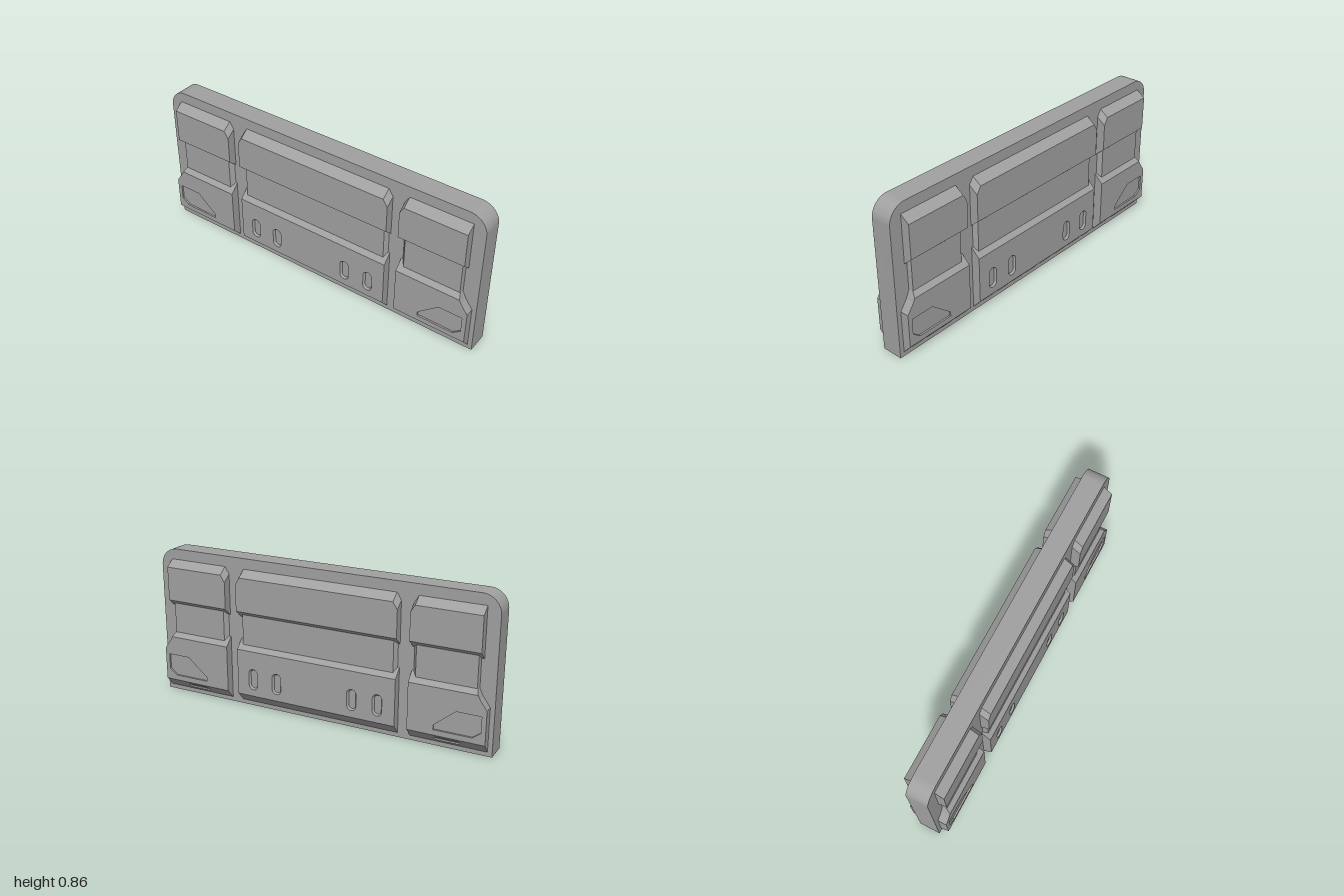
import * as THREE from 'three';
import { toCreasedNormals } from 'three/addons/utils/BufferGeometryUtils.js';

const SLAB = 0.06, FACE = 0.11, WELL = 0.085;
const grey = new THREE.MeshStandardMaterial({ color: 0xa0a0a0 });
grey.name = 'grey';

// Outline [[x, y], ...] (counter-clockwise) placed at depth z
const at = (pts, z) => pts.map(([x, y]) => [x, y, z]);
const rect = (x0, y0, x1, y1) => [[x0, y0], [x1, y0], [x1, y1], [x0, y1]];

// Rounded slot: circle of radius r stretched by ex, ey
function slot(cx, cy, r, ex, ey) {
  const pts = [];
  for (let i = 0; i < 24; i++) {
    const a = ((i + 0.5) / 24) * Math.PI * 2, c = Math.cos(a), s = Math.sin(a);
    pts.push([cx + r * c + Math.sign(c) * ex, cy + r * s + Math.sign(s) * ey]);
  }
  return pts;
}

// Quads joining two loops of equal length, leaving out edge `skip`
function wall(out, a, b, skip = -1) {
  a.forEach((p, i) => {
    const j = (i + 1) % a.length;
    if (i !== skip) out.push(p, a[j], b[j], p, b[j], b[i]);
  });
}

// Flat face bounded by a loop, with holes
function cap(out, loop, holes = []) {
  const flat = (l) => l.map(([x, y]) => new THREE.Vector2(x, y));
  const all = [loop, ...holes].flat();
  for (const [a, b, c] of THREE.ShapeUtils.triangulateShape(flat(loop), holes.map(flat))) {
    const [p, q, r] = [all[a], all[b], all[c]];
    const ccw = (q[0] - p[0]) * (r[1] - p[1]) - (q[1] - p[1]) * (r[0] - p[0]) > 0;
    out.push(p, ...(ccw ? [q, r] : [r, q]));
  }
}

// Sunken pocket: sloped or straight rim and a floor
function pocket(out, rim, floor) {
  wall(out, rim, floor);
  cap(out, floor);
}

function raised(base, front, z) {
  const out = [];
  wall(out, at(base, SLAB), at(front, z));
  cap(out, at(front, z));
  return out;
}

// Lower block whose first edge is the sloping foot
function lowerBlock(base, front, pockets, footSlots = []) {
  const out = [], b = at(base, SLAB), f = at(front, FACE);
  wall(out, b, f, 0);
  cap(out, f, pockets.map((p) => at(p.rim, FACE)));
  pockets.forEach((p) => pocket(out, at(p.rim, FACE), at(p.floor, FACE - p.depth)));
  const slope = (FACE - SLAB) / (front[0][1] - base[0][1]);
  const rims = footSlots.map((s) => s.map(([x, y]) => [x, y, SLAB + (y - base[0][1]) * slope]));
  cap(out, [b[0], b[1], f[1], f[0]], rims);
  rims.forEach((r) => pocket(out, r, r.map(([x, y, z]) => [x, y + 0.005, z - 0.006])));
  return out;
}

function toMesh(tris, name, mirror = false) {
  const pos = [];
  for (let i = 0; i < tris.length; i += 3) {
    const [a, b, c] = tris.slice(i, i + 3);
    for (const p of mirror ? [a, c, b] : [a, b, c]) pos.push(mirror ? -p[0] : p[0], p[1], p[2]);
  }
  const g = new THREE.BufferGeometry();
  g.setAttribute('position', new THREE.Float32BufferAttribute(pos, 3));
  g.computeVertexNormals();
  const mesh = new THREE.Mesh(g, grey);
  mesh.name = name;
  return mesh;
}

function makeSlab() {
  const s = new THREE.Shape();
  s.moveTo(-1, 0);
  s.lineTo(1, 0);
  s.lineTo(1, 0.757);
  s.absarc(0.9, 0.757, 0.1, 0, Math.PI / 2);
  s.lineTo(-0.9, 0.857);
  s.absarc(-0.9, 0.757, 0.1, Math.PI / 2, Math.PI);
  s.closePath();
  const g = new THREE.ExtrudeGeometry(s, { depth: SLAB * 2, bevelEnabled: false, curveSegments: 10 });
  g.translate(0, 0, -SLAB);
  const mesh = new THREE.Mesh(toCreasedNormals(g, 0.5), grey);
  mesh.name = 'slab';
  return mesh;
}

function makeFace(name) {
  const face = new THREE.Group();
  face.name = name;

  // Middle panel
  const midUpper = (y0, top) => [[-0.48, y0], [0.48, y0], [0.48, top - 0.04],
    [0.455, top], [-0.455, top], [-0.48, top - 0.04]];
  face.add(toMesh(raised(midUpper(0.523, 0.797), midUpper(0.567, 0.76), FACE), 'middleUpperBlock'));
  face.add(toMesh(raised(rect(-0.47, 0.36, 0.47, 0.56), rect(-0.455, 0.36, 0.455, 0.56), WELL), 'middleRecess'));
  const grips = [-0.38, -0.23, 0.23, 0.38].map((x) => ({
    rim: slot(x, 0.18, 0.028, 0, 0.033), floor: slot(x, 0.18, 0.02, 0, 0.033), depth: 0.012,
  }));
  face.add(toMesh(lowerBlock(rect(-0.48, 0.025, 0.48, 0.395), rect(-0.48, 0.08, 0.48, 0.345), grips), 'middleLowerBlock'));

  // Side panels, mirrored
  const sideUpper = (y0, top) => [[0.55, y0], [0.93, y0], [0.93, top], [0.575, top], [0.55, top - 0.04]];
  const badge = [[0.695, 0.11], [0.905, 0.11], [0.95, 0.145], [0.95, 0.235], [0.815, 0.235], [0.695, 0.135]];
  const parts = {
    UpperBlock: raised(sideUpper(0.523, 0.797), sideUpper(0.567, 0.76), FACE),
    Recess: raised(rect(0.56, 0.36, 0.915, 0.56), rect(0.58, 0.36, 0.91, 0.56), WELL),
    LowerBlock: lowerBlock(
      [[0.55, 0.025], [0.975, 0.025], [0.975, 0.27], [0.935, 0.325], [0.9, 0.395], [0.55, 0.395]],
      [[0.55, 0.08], [0.975, 0.08], [0.975, 0.27], [0.935, 0.325], [0.925, 0.345], [0.55, 0.345]],
      [{ rim: badge, floor: badge, depth: 0.01 }],
      [slot(0.765, 0.052, 0.012, 0.058, 0)]),
  };
  for (const [part, tris] of Object.entries(parts)) {
    face.add(toMesh(tris, 'left' + part), toMesh(tris, 'right' + part, true));
  }
  return face;
}

export function createModel() {
  const model = new THREE.Group();
  model.name = 'barrier';
  const back = makeFace('backFace');
  back.rotation.y = Math.PI;
  model.add(makeSlab(), makeFace('frontFace'), back);
  return model;
}
